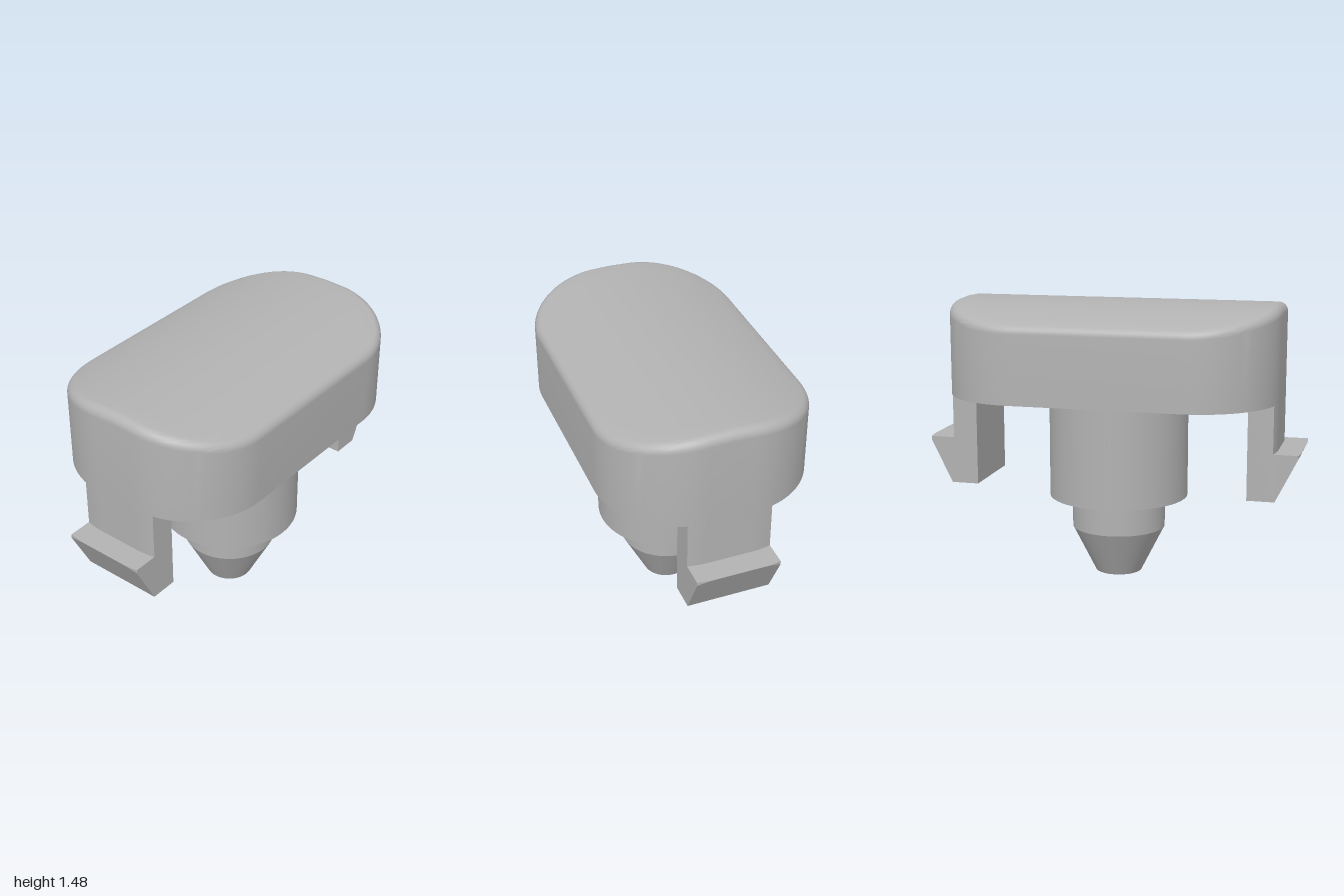
import * as THREE from 'three';
import { toCreasedNormals } from 'three/addons/utils/BufferGeometryUtils.js';

const CX = 0.445, CZ = 0.115, R = 0.43;        // cap corner centres and radius
const CAP_BOTTOM = 0.985, CAP_TOP = 1.48;
const DOME = 1.56, FILLET = 0.05;              // crown radius and edge rounding

// Outline of the cap in plan: a corner centre and outward angle for each point
function capOutline() {
  const points = [];
  [[1, 1], [-1, 1], [-1, -1], [1, -1]].forEach(([sx, sz], k) => {
    if (k % 2 === 0) points.push({ x: sx * CX, z: 0, a: k * Math.PI / 2 });
    for (let i = 0; i <= 18; i++) {
      points.push({ x: sx * CX, z: sz * CZ, a: (k + i / 18) * Math.PI / 2 });
    }
  });
  return points;
}

// Cap wall, rolled edge and crown as one smooth skin of rings
function capSkin(outline) {
  const n = outline.length, pos = [], index = [];
  const crown = (z, radius) => CAP_TOP - DOME + Math.sqrt(radius * radius - z * z);
  const addRing = (fn) => outline.forEach((p) => pos.push(...fn(p)));

  addRing((p) => [p.x + R * Math.cos(p.a), CAP_BOTTOM, p.z + R * Math.sin(p.a)]);
  const rolled = (p, t) => {
    const cx = p.x + (R - FILLET) * Math.cos(p.a);
    const cz = p.z + (R - FILLET) * Math.sin(p.a);
    const cy = crown(cz, DOME - FILLET);
    const side = new THREE.Vector3(Math.cos(p.a), 0, Math.sin(p.a));
    const up = new THREE.Vector3(0, cy - CAP_TOP + DOME, cz).normalize();
    const angle = side.angleTo(up);
    return side.multiplyScalar(Math.sin((1 - t) * angle))
      .addScaledVector(up, Math.sin(t * angle))
      .multiplyScalar(FILLET / Math.sin(angle))
      .add(new THREE.Vector3(cx, cy, cz));
  };
  for (let i = 0; i <= 8; i++) addRing((p) => rolled(p, i / 8).toArray());
  for (let i = 11; i >= 0; i--) {
    addRing((p) => {
      const q = rolled(p, 1).multiplyScalar(i / 12);
      return [q.x, crown(q.z, DOME), q.z];
    });
  }

  const rings = pos.length / 3 / n;
  for (let r = 0; r < rings - 1; r++) {
    for (let i = 0; i < n; i++) {
      const j = (i + 1) % n, a = r * n + i, b = r * n + j;
      index.push(a, a + n, b, b, a + n, b + n);
    }
  }
  const geo = new THREE.BufferGeometry();
  geo.setAttribute('position', new THREE.Float32BufferAttribute(pos, 3));
  geo.setIndex(index);
  return toCreasedNormals(geo, 0.6);
}

// Snap hook: extruded profile whose outer faces follow the rounded cap end
function hookGeometry() {
  const profile = [[0.73, 0.985], [0.73, 0.485], [0.875, 0.485], [1, 0.7345],
    [1, 0.735], [0.875, 0.735], [0.875, 0.985]];
  const shape = new THREE.Shape(profile.map(([x, y]) => new THREE.Vector2(x, y)));
  const geo = new THREE.ExtrudeGeometry(shape, { depth: 0.44, steps: 24, bevelEnabled: false });
  geo.translate(0, 0, -0.22);
  const p = geo.attributes.position;
  for (let i = 0; i < p.count; i++) {
    const x = p.getX(i), y = p.getY(i);
    if (x < 0.8 || y < 0.6) continue;
    const over = Math.max(0, Math.abs(p.getZ(i)) - CZ);
    const radius = x - CX;
    const drop = radius - Math.sqrt(radius * radius - over * over);
    p.setX(i, x - drop);
    if (x > 0.95 && y < 0.7348) p.setY(i, y - 2 * drop);
  }
  return toCreasedNormals(geo, 0.4);
}

export function createModel() {
  const model = new THREE.Group();
  model.name = 'snapInButton';
  const grey = new THREE.MeshStandardMaterial({ color: 0xb2b2b2 });
  grey.name = 'plainGrey';

  const add = (name, geometry, y = 0) => {
    const mesh = new THREE.Mesh(geometry, grey);
    mesh.name = name;
    mesh.position.y = y;
    model.add(mesh);
    return mesh;
  };

  // Cap
  const outline = capOutline();
  add('cap', capSkin(outline));
  const base = new THREE.ShapeGeometry(new THREE.Shape(outline.map((p) =>
    new THREE.Vector2(p.x + R * Math.cos(p.a), p.z + R * Math.sin(p.a)))));
  base.rotateX(Math.PI / 2);
  add('capUnderside', base, CAP_BOTTOM);

  // Central post and tapered pin
  add('post', new THREE.CylinderGeometry(0.372, 0.372, 0.56, 64), 0.705);
  add('pinShank', new THREE.CylinderGeometry(0.25, 0.25, 0.175, 64, 1, true), 0.3375);
  add('pinTaper', new THREE.CylinderGeometry(0.25, 0.125, 0.25, 64), 0.125);

  // Snap hooks at both ends
  const hook = hookGeometry();
  add('leftHook', hook);
  add('rightHook', hook).rotation.y = Math.PI;

  return model;
}
